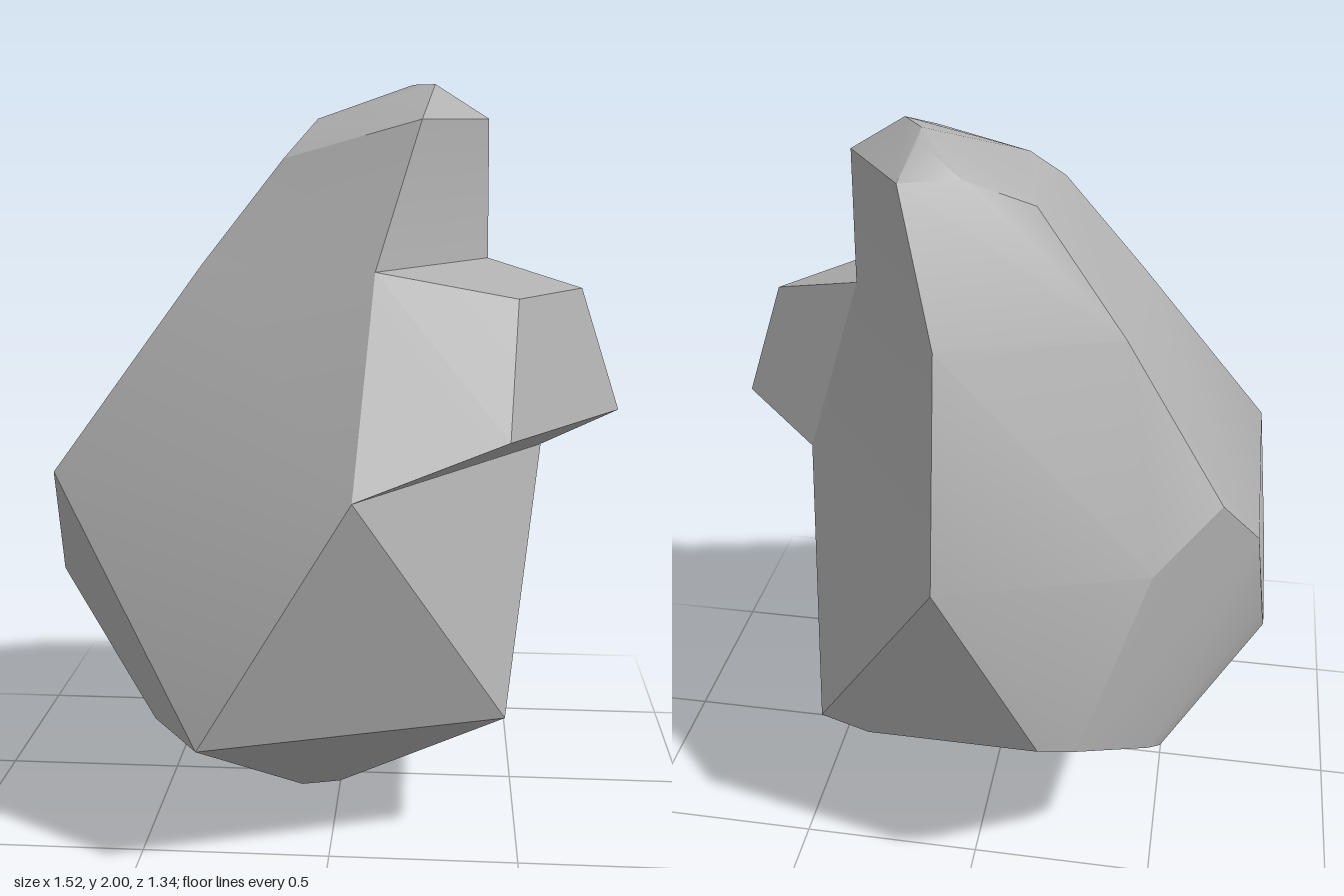
import * as THREE from 'three';
import { mergeGeometries, toCreasedNormals } from 'three/addons/utils/BufferGeometryUtils.js';
import { ConvexGeometry } from 'three/addons/geometries/ConvexGeometry.js';

const hull = (points) => new ConvexGeometry(points.map((p) => new THREE.Vector3(...p)));

export function createModel() {
  const group = new THREE.Group();
  group.name = 'rock';
  const stone = new THREE.MeshStandardMaterial({ color: 0xb0b0b0 });
  stone.name = 'grey stone';

  // Five-sided shoulder between the belly and the neck
  const shoulder = [
    [0.11, 1.54, 0.39], [0.4, 1.54, 0], [0.11, 1.54, -0.39],
    [-0.35, 1.54, -0.24], [-0.35, 1.54, 0.24],
  ];
  // Widest ring, its back left corner cut away
  const belly = [
    [0.07, 1.02, 0.67], [0.56, 1.02, 0], [0.07, 1.02, -0.67],
    [-0.46, 1.02, -0.5], [-0.62, 1.16, -0.364], [-0.72, 1.02, -0.28], [-0.72, 1.02, 0.41],
  ];
  // Lower ring, chipped on the left and back
  const base = [
    [0.46, 0.37, 0.41], [0.46, 0.37, -0.41], [0.31, 0.37, -0.46],
    [-0.2, 0.56, -0.67], [-0.298, 0.55, -0.643], [-0.477, 0.454, -0.49],
    [-0.507, 0.413, -0.428], [-0.75, 0.77, -0.254], [-0.76, 0.69, -0.2],
    [-0.76, 0.69, 0.2], [-0.46, 0.37, 0.475], [-0.32, 0.37, 0.67],
  ];
  // Blunt underside
  const foot = [[-0.11, 0, 0.09], [0, 0.01, 0.08], [0.35, 0.285, -0.33]];
  // Neck ring and worn top
  const crown = [
    [0.22, 1.91, 0.24], [0.395, 1.91, 0], [0.22, 1.91, -0.24], [0.07, 1.91, -0.19],
    [-0.11, 1.845, -0.163], [-0.06, 1.91, 0.055], [-0.14, 1.81, 0.173],
    [0.25, 2, 0], [0.19, 2, -0.08], [0.19, 1.98, -0.12],
  ];
  const body = mergeGeometries([
    hull([...shoulder, ...belly, ...base, ...foot]),
    hull([...shoulder, ...crown]),
  ]);

  // Tapered block jutting from the front left of the body
  const block = hull([
    shoulder[0], shoulder[1], belly[0], belly[1],
    [0.65, 1.47, 0.09], [0.47, 1.47, 0.34], [0.45, 1.14, 0.52], [0.76, 1.14, 0.09],
  ]);

  for (const [name, geometry] of [['rockBody', body], ['juttingBlock', block]]) {
    const mesh = new THREE.Mesh(toCreasedNormals(geometry, 0.55), stone);
    mesh.name = name;
    group.add(mesh);
  }
  return group;
}
